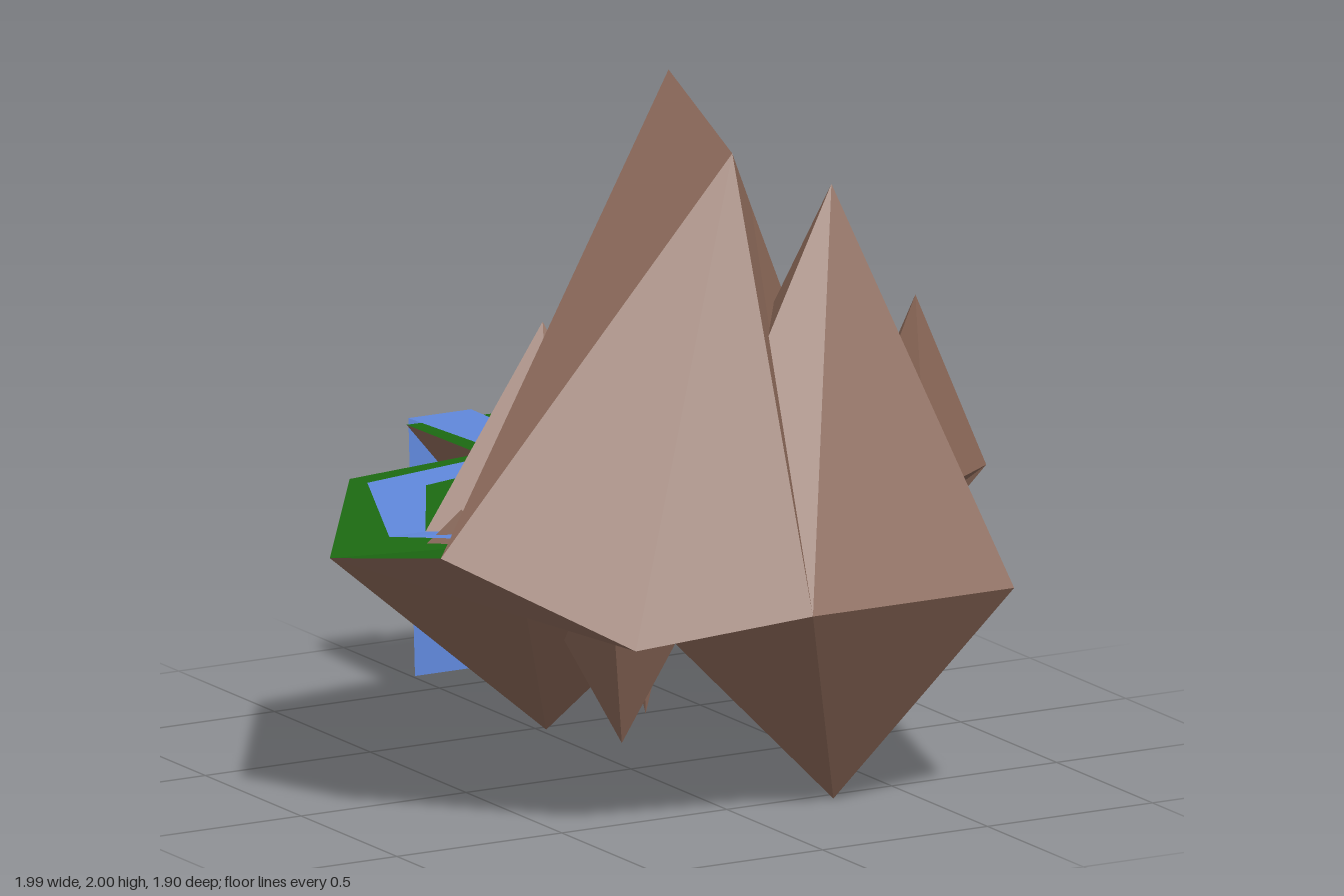
import * as THREE from 'three';

const paint = (color) => new THREE.MeshStandardMaterial({ color, flatShading: true, side: THREE.DoubleSide });

export function createModel() {
  const model = new THREE.Group();
  const rock = paint(0x8b6858), grass = paint(0x1c6a12), water = paint(0x6088dc);
  const timber = paint(0xc8691c), roofing = paint(0x6e5448), dark = paint(0x3a2c26);

  const add = (name, geometry, material, parent = model) => {
    const mesh = new THREE.Mesh(geometry, material);
    mesh.name = name;
    parent.add(mesh);
    return mesh;
  };
  // Faceted surface from triangles and quads of points
  const facets = (name, material, polygons) => {
    const pos = [];
    for (const p of polygons)
      for (let i = 1; i < p.length - 1; i++) pos.push(...p[0], ...p[i], ...p[i + 1]);
    const g = new THREE.BufferGeometry();
    g.setAttribute('position', new THREE.Float32BufferAttribute(pos, 3));
    g.computeVertexNormals();
    return add(name, g, material);
  };
  // Triangles joining a ring of points to one tip
  const fan = (tip, ring) => ring.map((p, i) => [p, ring[(i + 1) % ring.length], tip]);
  // Five-sided ring with one corner at the back
  const pentagon = (x, y, z, r) => Array.from({ length: 5 }, (_, i) => {
    const a = (i * Math.PI * 2) / 5;
    return [x + r * Math.sin(a), y, z - r * Math.cos(a)];
  });

  // Corners shared by the ground and the rock below it
  const west = [-1, 0.73, 0.15], northWest = [-0.58, 0.755, -0.47], inlet = [-0.17, 0.765, -0.5];
  const tongueL = [-0.14, 0.745, -0.93], tongueR = [0.32, 0.735, -0.95], notch = [0.46, 0.765, -0.47];
  const northEast = [0.99, 0.745, -0.47], east = [0.99, 0.73, 0.15], southEast = [0.69, 0.73, 0.36];
  const southWest = [-0.89, 0.8, 0.54], flapEdge = [-0.05, 0.5, -0.745], shore = [-0.3, 0.755, 0.4];

  // Grass top with a flap hanging at the back
  facets('ground', grass, [
    ...fan([0, 0.765, -0.2], [west, northWest, inlet, tongueL, tongueR, notch, northEast, east,
      southEast, [0, 0.7, 0.45], shore]),
    [west, southWest, shore],
    [inlet, northWest, flapEdge, [0.03, 0.27, -0.78]],
  ]);

  // Tall front mountain
  const peak = [-0.13, 2, 0.42], shoulder = [0.04, 1.76, 0.46], step = [0.12, 1.6, 0.42];
  const ridge = [0.26, 1.28, 0.39], back = [0.04, 1.28, 0.35];
  const foot = [-0.45, 0.55, 0.8], front = [0, 0.62, 0.95], heel = [0.2, 0.75, 0.16];
  facets('tallMountain', rock, [
    [peak, southWest, shoulder], [southWest, foot, shoulder], [foot, front, shoulder],
    [peak, shoulder, step], [shoulder, front, step], [step, front, ridge],
    [peak, step, back], [step, ridge, back],
    [peak, back, southWest], [southWest, back, heel], [back, ridge, heel], [ridge, front, heel],
    [west, southWest, foot],
    ...fan([0, 0.52, 0.4], [west, foot, front, heel]),
  ]);

  // Front right mountain, pointed above and below
  const b0 = [0.305, 0.62, 0.015], b1 = [0.8, 0.62, 0.37], b2 = [0.61, 0.62, 0.95], b4 = [-0.22, 0.57, 0.37];
  const top = [0.3, 1.66, 0.53], bump = [0.06, 1.29, 0.61];
  facets('frontMountain', rock, [
    [top, b0, b1], [top, b1, b2], [top, b2, front], [top, front, bump],
    [bump, front, b4], [top, bump, b4], [top, b4, b0],
    ...fan([0.3, 0, 0.54], [b0, b1, b2, front, b4]),
  ]);

  // Row of peaks across the middle: x, height, radius
  for (const [x, h, r] of [[-0.08, 1.45, 0.345], [0.22, 1.21, 0.26], [0.5, 1.4, 0.325]])
    facets('rowPeak', rock, fan([x, h, 0.09], pentagon(x, 0.74, 0.09, r)));
  facets('rowPeakRight', rock, fan([0.81, 1.2, 0.09],
    [[0.81, 0.75, -0.14], east, southEast, [0.6, 0.74, 0.1], [0.68, 0.75, -0.05]]));
  facets('rowPeakLeft', rock, fan([-0.32, 1.27, 0.09],
    [[-0.3, 0.75, -0.21], [-0.72, 0.75, 0.15], [-0.43, 0.74, 0.34], [-0.12, 0.74, 0.33], [-0.25, 0.74, -0.05]]));
  facets('bankRock', rock, fan([-0.66, 0.84, 0.25],
    [[-0.74, 0.75, 0.21], [-0.59, 0.75, 0.32], [-0.43, 0.75, 0.34], [-0.5, 0.75, 0.2], [-0.66, 0.75, 0.17]]));

  // Rock under the left side
  facets('leftUnderside', rock, fan([-0.1, 0.06, -0.27],
    [west, northWest, flapEdge, [0.25, 0.7, -0.3], [0.2, 0.6, 0.18], [-0.45, 0.55, 0.22]]));

  // Rock under the right side with a sloping ledge at the back
  const ledgeR = [0.83, 0.49, -0.75], ledgeL = [0.39, 0.38, -0.73];
  const keelR = [0.76, 0.42, 0.04], keelL = [0.5, 0.4, 0.04];
  facets('rightLedge', rock, [[notch, northEast, ledgeR, ledgeL], [northEast, east, ledgeR]]);
  facets('rightUnderside', rock, [
    ...fan([0.53, 0.07, -0.41], [ledgeR, ledgeL, [0.4, 0.6, -0.45], keelL, keelR]),
    [east, keelR, ledgeR], [east, keelL, keelR], [east, southEast, keelL],
    [southEast, [0.25, 0.7, 0.3], keelL],
  ]);

  // Rock under the back tongue, with two points below
  const keel = [0.26, 0.2, -0.74], lip = [0.24, 0.3, -0.91], gap = [0.25, 0.4, -0.82];
  const core = [0.1, 0.5, -0.3];
  facets('tongueUnderside', rock, [
    [tongueL, tongueR, lip], [tongueR, gap, lip], [tongueR, keel, gap], [tongueR, notch, keel],
    [tongueL, lip, gap], [tongueL, gap, keel], [inlet, tongueL, keel],
    [notch, core, keel], [core, inlet, keel],
  ]);

  // Hanging spikes: tip, ring height, radius
  for (const [x, y, z, h, r] of [[-0.08, 0.1, 0.09, 0.74, 0.345], [0.3, 0.015, -0.44, 0.68, 0.16], [0.39, 0.08, -0.62, 0.4, 0.09]])
    facets('hangingSpike', rock, fan([x, y, z], pentagon(x, h, z, r)));

  // River strip as pairs of bank points, then the waterfall
  const banks = [
    [-0.12, -0.955, 0.07, -0.955], [-0.12, -0.45, 0.03, -0.38], [-0.59, -0.36, -0.47, -0.26],
    [-0.82, 0.15, -0.71, 0.15], [-0.62, 0.38, -0.57, 0.31], [-0.47, 0.42, -0.15, 0.31],
  ];
  const level = [0.755, 0.772, 0.77, 0.765, 0.782, 0.78];
  const river = banks.slice(1).map((q, i) => {
    const p = banks[i], y0 = level[i], y1 = level[i + 1];
    return [[p[0], y0, p[1]], [p[2], y0, p[3]], [q[2], y1, q[3]], [q[0], y1, q[1]]];
  });
  facets('river', water, river);
  facets('waterfall', water, [
    [[-0.12, 0.755, -0.955], [0.07, 0.755, -0.955], [0.07, 0.055, -0.955], [-0.1, 0.055, -0.955]],
  ]);

  // Small house with a rounded roof
  const house = new THREE.Group();
  house.name = 'house';
  house.position.set(0.205, 0.765, -0.525);
  model.add(house);
  add('walls', new THREE.BoxGeometry(0.19, 0.105, 0.105), timber, house).position.y = 0.05;
  const roof = (name, length, scale, material) => {
    const outline = [[-0.057, 0], [0.057, 0], [0.05, 0.018], [0.025, 0.031], [-0.025, 0.031], [-0.05, 0.018]];
    const shape = new THREE.Shape(outline.map(([x, y]) => new THREE.Vector2(x * scale, y * scale)));
    const g = new THREE.ExtrudeGeometry(shape, { depth: length, bevelEnabled: false });
    g.translate(0, 0, -length / 2).rotateY(Math.PI / 2);
    add(name, g, material, house).position.y = 0.1;
  };
  roof('roof', 0.2, 1, roofing);
  roof('roofBand', 0.03, 1.06, timber);
  add('porch', new THREE.BoxGeometry(0.04, 0.045, 0.03), dark, house).position.set(0.03, 0.025, -0.06);

  return model;
}
